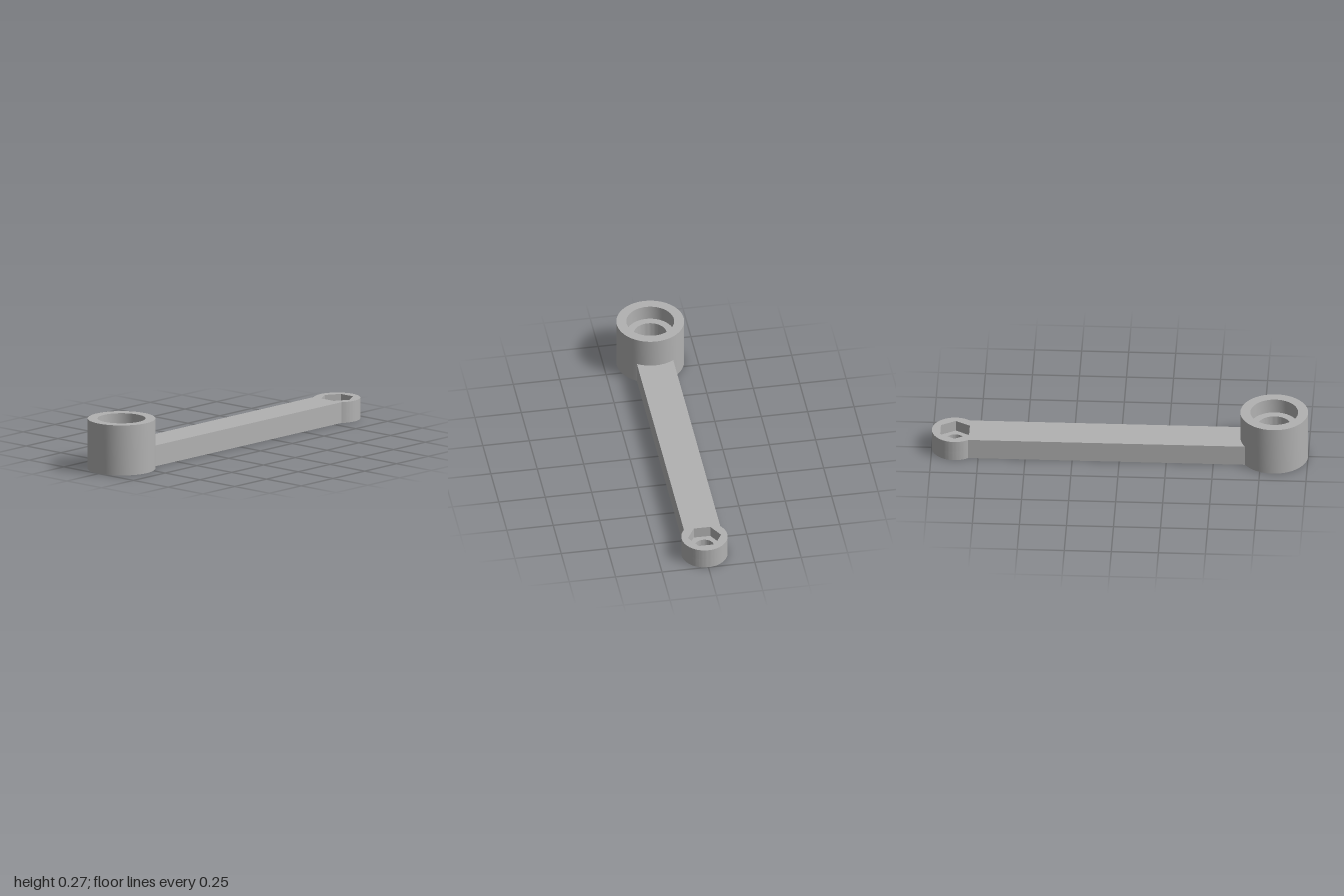
import * as THREE from 'three';
import { toCreasedNormals } from 'three/addons/utils/BufferGeometryUtils.js';

const BOSS_Z = 0.82, EYE_Z = -0.877;
const EYE_R = 0.123, ARM_HALF = 0.098, ARM_H = 0.113, HEX_FLOOR = 0.053;

// Plan outline of the arm with its rounded eye; shape y is -z
function armOutline(hole) {
  const dz = Math.sqrt(EYE_R ** 2 - ARM_HALF ** 2);
  const a = Math.atan2(-dz, ARM_HALF);
  const s = new THREE.Shape();
  s.moveTo(-ARM_HALF, -0.68);
  s.lineTo(ARM_HALF, -0.68);
  s.lineTo(ARM_HALF, -EYE_Z - dz);
  s.absarc(0, -EYE_Z, EYE_R, a, Math.PI - a, false);
  s.closePath();
  s.holes.push(hole);
  return s;
}

function layer(hole, y0, y1) {
  const g = new THREE.ExtrudeGeometry(armOutline(hole), { depth: y1 - y0, bevelEnabled: false, curveSegments: 40 });
  g.rotateX(-Math.PI / 2).translate(0, y0, 0);
  return toCreasedNormals(g, 0.5);
}

export function createModel() {
  const model = new THREE.Group();
  const grey = new THREE.MeshStandardMaterial({ color: 0xb2b2b2 });
  grey.name = 'grey';
  const add = (name, geometry) => {
    const m = new THREE.Mesh(geometry, grey);
    m.name = name;
    model.add(m);
    return m;
  };

  // Tall boss: a bearing seat at each end with a lip between them
  const profile = [
    [0.18, 0], [0.18, 0.272], [0.127, 0.272], [0.127, 0.192], [0.087, 0.192],
    [0.087, 0.08], [0.127, 0.08], [0.127, 0], [0.18, 0],
  ].map(([r, y]) => new THREE.Vector2(r, y));
  add('bearingBoss', toCreasedNormals(new THREE.LatheGeometry(profile, 72), 0.5)).position.z = BOSS_Z;

  // Lower part of the arm, with the round bolt hole
  const bolt = new THREE.Path().absarc(0, -EYE_Z, 0.05, 0, Math.PI * 2, true);
  add('armLower', layer(bolt, 0, HEX_FLOOR));

  // Upper part of the arm, with the hexagonal nut pocket
  const hex = new THREE.Path();
  hex.setFromPoints(Array.from({ length: 6 }, (_, i) => {
    const t = -i * Math.PI / 3;
    return new THREE.Vector2(0.089 * Math.cos(t), -EYE_Z + 0.089 * Math.sin(t));
  }));
  hex.closePath();
  add('armUpper', layer(hex, HEX_FLOOR, ARM_H));

  return model;
}
